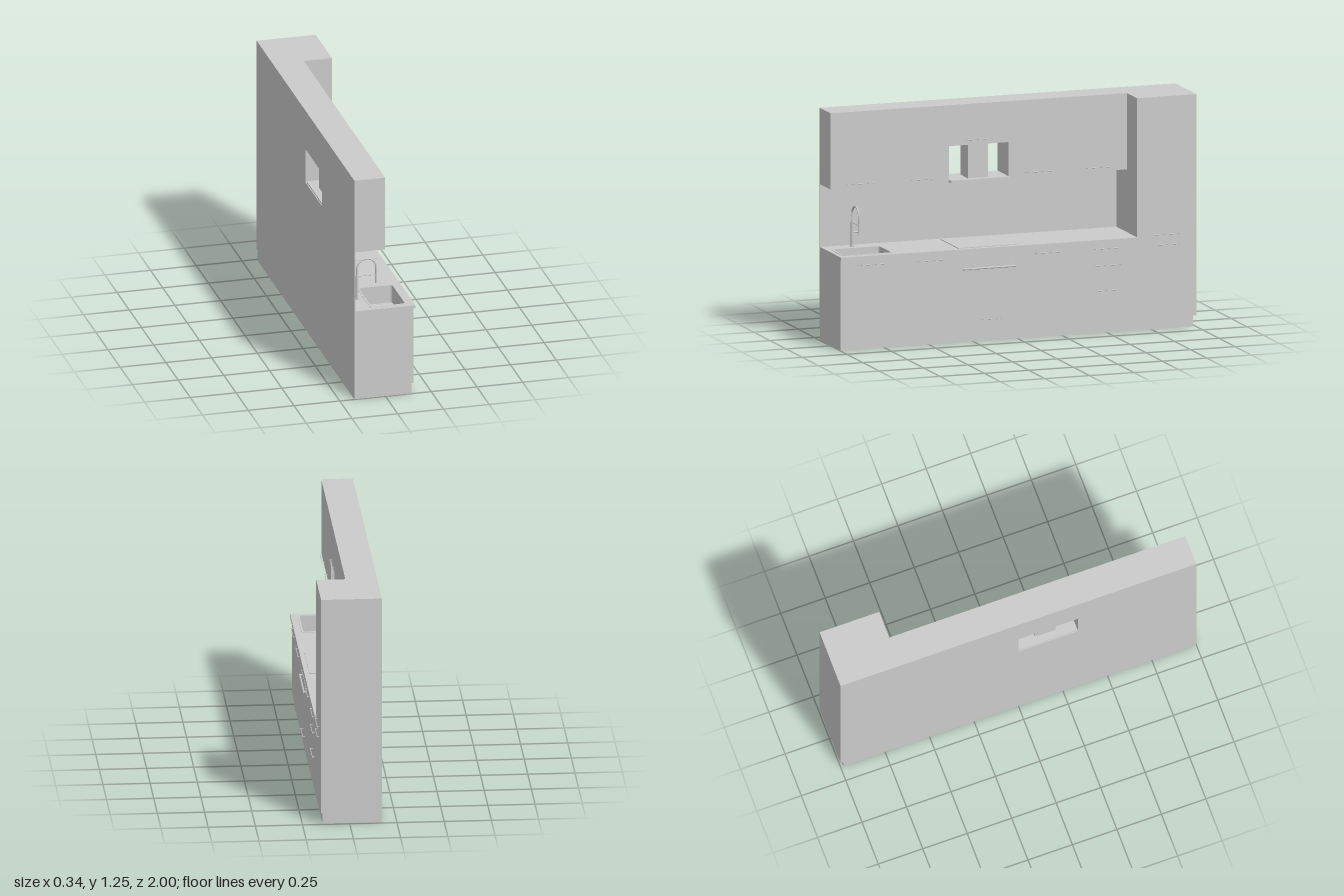
import * as THREE from 'three';

const material = new THREE.MeshStandardMaterial({ color: 0xcccccc });
const smooth = new THREE.MeshStandardMaterial({ color: 0xcccccc });

function add(parent, name, geometry, mat = material) {
  const mesh = new THREE.Mesh(geometry, mat);
  mesh.name = name;
  parent.add(mesh);
  return mesh;
}

// Box given by its limits on each axis
function block(parent, name, [x0, x1], [y0, y1], [z0, z1]) {
  const mesh = add(parent, name, new THREE.BoxGeometry(x1 - x0, y1 - y0, z1 - z0));
  mesh.position.set((x0 + x1) / 2, (y0 + y1) / 2, (z0 + z1) / 2);
  return mesh;
}

// Plan outline with rounded corners (shape y is -z)
function outline(path, [x0, x1], [z0, z1], r = 0) {
  const a = -z1, b = -z0;
  path.moveTo(x0 + r, a).lineTo(x1 - r, a);
  if (r) path.absarc(x1 - r, a + r, r, -Math.PI / 2, 0);
  path.lineTo(x1, b - r);
  if (r) path.absarc(x1 - r, b - r, r, 0, Math.PI / 2);
  path.lineTo(x0 + r, b);
  if (r) path.absarc(x0 + r, b - r, r, Math.PI / 2, Math.PI);
  path.lineTo(x0, a + r);
  if (r) path.absarc(x0 + r, a + r, r, Math.PI, Math.PI * 1.5);
  path.closePath();
  return path;
}

// Horizontal slab, optionally with one opening
function slab(parent, name, xs, zs, [y0, y1], r = 0, hole = null) {
  const shape = outline(new THREE.Shape(), xs, zs, r);
  if (hole) shape.holes.push(outline(new THREE.Path(), ...hole));
  const g = new THREE.ExtrudeGeometry(shape, { depth: y1 - y0, bevelEnabled: false, curveSegments: 6 });
  g.rotateX(-Math.PI / 2);
  const mesh = add(parent, name, g);
  mesh.position.y = y0;
  return mesh;
}

// Cylinder between two points
function rod(parent, name, from, to, r, sides = 12) {
  const a = new THREE.Vector3(...from), b = new THREE.Vector3(...to);
  const mesh = add(parent, name, new THREE.CylinderGeometry(r, r, a.distanceTo(b), sides), smooth);
  mesh.position.copy(a).lerp(b, 0.5);
  mesh.quaternion.setFromUnitVectors(new THREE.Vector3(0, 1, 0), b.sub(a).normalize());
  return mesh;
}

// Bar handle on two posts
function handle(parent, name, x, y, z, length = 0.15, r = 0.002) {
  const g = new THREE.Group();
  g.name = name;
  const h = length / 2;
  rod(g, 'bar', [0.013, 0, -h], [0.013, 0, h], r, 8);
  for (const s of [-1, 1]) rod(g, 'post', [-0.002, 0, s * (h - 0.008)], [0.013, 0, s * (h - 0.008)], r, 8);
  g.position.set(x, y, z);
  parent.add(g);
}

export function createModel() {
  const kitchen = new THREE.Group();
  kitchen.name = 'kitchenUnit';
  const back = -0.17, front = 0.152, upperFront = -0.002, tallZ = -0.665;

  // Plinth, lower cabinets and tall cabinet
  block(kitchen, 'plinth', [back, 0.143], [0, 0.06], [-0.985, 0.997]);
  block(kitchen, 'tallCabinet', [back, front], [0.06, 1.25], [-1, tallZ]);
  block(kitchen, 'baseCabinet', [back, front], [0.06, 0.4], [tallZ, 1]);
  const bowlX = [-0.07, 0.12], bowlZ = [0.698, 0.968];
  const bowl = [bowlX, bowlZ, 0.015];
  slab(kitchen, 'baseCabinetTop', [back, front], [tallZ, 1], [0.4, 0.486], 0, bowl);
  slab(kitchen, 'countertop', [back, 0.163], [tallZ - 0.008, 1], [0.486, 0.503], 0, bowl);

  // Back wall panel
  block(kitchen, 'splashback', [back, -0.163], [0.503, 0.84], [tallZ, 1]);

  // Wall cabinets around the open hood niche
  const niche = [0, 0.335];
  block(kitchen, 'wallCabinetLeft', [back, upperFront], [0.84, 1.25], [niche[1], 1]);
  block(kitchen, 'wallCabinetRight', [back, upperFront], [0.84, 1.25], [tallZ, niche[0]]);
  block(kitchen, 'hoodCabinet', [back, upperFront], [1.03, 1.25], niche);

  // Extractor hood with a recessed underside and a duct
  const hood = new THREE.Group();
  hood.name = 'extractorHood';
  kitchen.add(hood);
  slab(hood, 'hoodPlate', [-0.165, 0.022], [0.002, 0.333], [0.841, 0.848], 0.008);
  slab(hood, 'hoodRim', [-0.165, 0.022], [0.002, 0.333], [0.835, 0.841], 0.008,
    [[-0.145, 0.004], [0.022, 0.313], 0.006]);
  slab(hood, 'hoodFilter', [-0.125, -0.016], [0.042, 0.293], [0.838, 0.842], 0.004);
  block(hood, 'duct', [-0.125, -0.012], [0.848, 1.03], [0.11, 0.225]);

  // Hob
  slab(kitchen, 'hob', [-0.142, 0.137], [0.002, 0.333], [0.503, 0.507], 0.004);

  // Sink set into the counter
  const sink = new THREE.Group();
  sink.name = 'sink';
  kitchen.add(sink);
  const inner = [[-0.066, 0.116], [0.702, 0.964], 0.013];
  slab(sink, 'sinkRim', [-0.076, 0.126], [0.69, 0.976], [0.503, 0.505], 0.018, inner);
  slab(sink, 'bowlWall', bowlX, bowlZ, [0.402, 0.504], 0.015, inner);
  slab(sink, 'bowlFloor', ...bowl.slice(0, 2), [0.4, 0.406], 0.015);
  rod(sink, 'drain', [0.025, 0.405, 0.833], [0.025, 0.408, 0.833], 0.014, 20);

  // Arched tap with a docking arm and side lever
  const tap = new THREE.Group();
  tap.name = 'tap';
  tap.position.set(-0.112, 0.503, 0.838);
  kitchen.add(tap);
  rod(tap, 'tapFoot', [0, 0, 0], [0, 0.004, 0], 0.012, 20);
  rod(tap, 'tapBody', [0, 0, 0], [0, 0.134, 0], 0.008, 16);
  const points = [new THREE.Vector3(0, 0.13, 0)];
  for (let i = 0; i <= 10; i++) {
    const a = Math.PI * (1 - i / 10);
    points.push(new THREE.Vector3(0.052 + 0.052 * Math.cos(a), 0.173 + 0.052 * Math.sin(a), 0));
  }
  points.push(new THREE.Vector3(0.104, 0.13, 0));
  add(tap, 'tapNeck', new THREE.TubeGeometry(new THREE.CatmullRomCurve3(points), 40, 0.005, 10), smooth);
  rod(tap, 'sprayHead', [0.104, 0.082, 0], [0.104, 0.135, 0], 0.006);
  rod(tap, 'dockingArm', [0, 0.131, 0], [0.104, 0.131, 0], 0.003, 8);
  rod(tap, 'leverStem', [0, 0.077, 0], [0, 0.077, -0.042], 0.005);
  rod(tap, 'lever', [0, 0.073, -0.042], [0, 0.113, -0.042], 0.003, 8);

  // Oven trim and its wider handle
  block(kitchen, 'ovenTrim', [front - 0.002, front + 0.002], [0.413, 0.417], niche);
  handle(kitchen, 'ovenHandle', front, 0.396, 0.1675, 0.295, 0.005);

  // Door and drawer handles
  for (const z of [0.835, 0.505, -0.165, -0.497]) {
    handle(kitchen, 'wallDoorHandle', upperFront, 0.862, z);
    handle(kitchen, 'baseDoorHandle', front, 0.455, z);
  }
  handle(kitchen, 'hoodDoorHandle', upperFront, 1.058, 0.1675);
  handle(kitchen, 'ovenDrawerHandle', front, 0.12, 0.1675);
  for (const y of [0.365, 0.23]) handle(kitchen, 'drawerHandle', front, y, -0.497);
  for (const y of [0.51, 0.455]) handle(kitchen, 'tallDoorHandle', front, y, -0.833);

  return kitchen;
}
